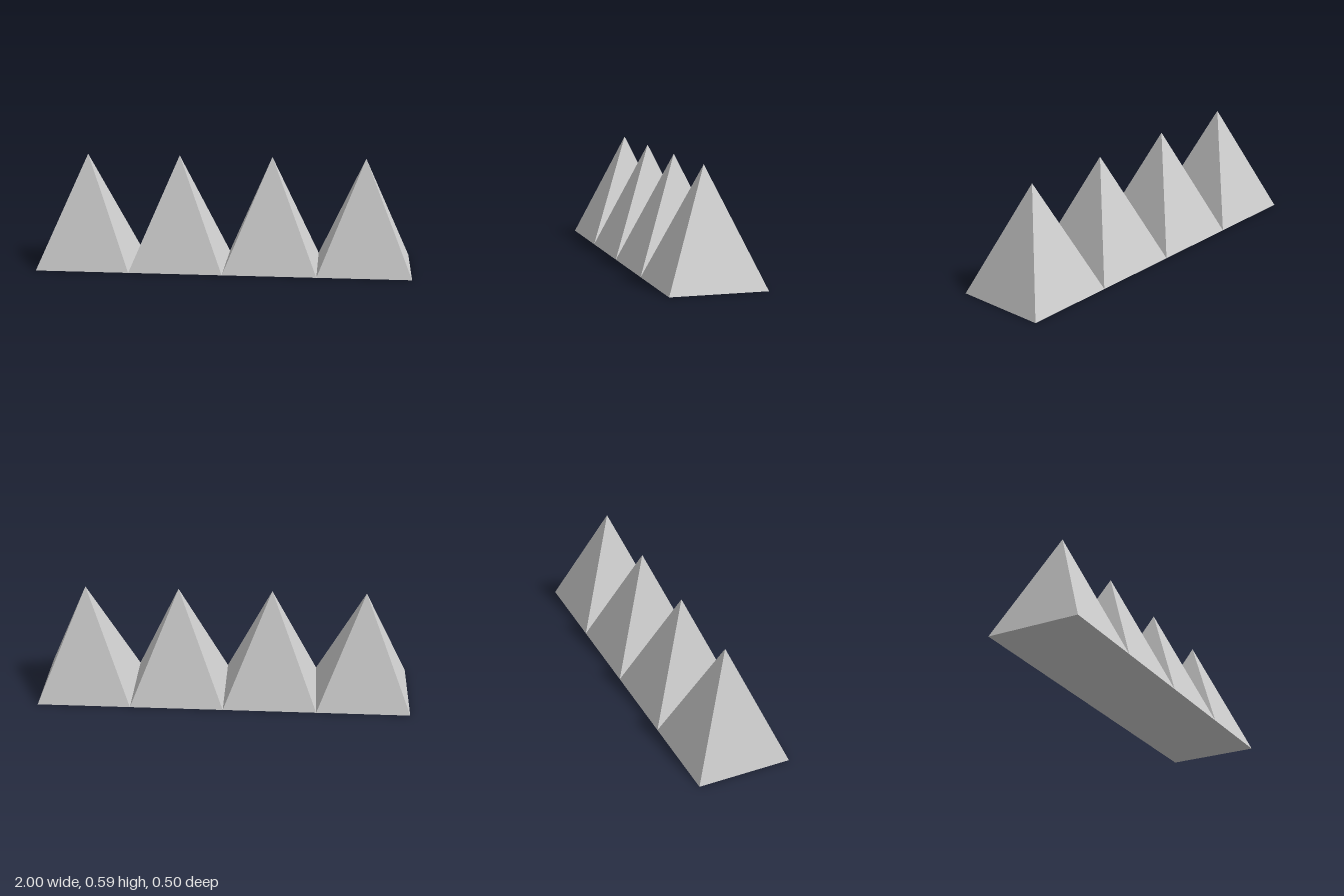
import * as THREE from 'three';

export function createModel() {
  const group = new THREE.Group();
  group.name = 'pyramidRow';

  const count = 4;
  const side = 2 / count;
  const height = 0.593;
  const material = new THREE.MeshStandardMaterial({ color: 0xcccccc, flatShading: true });

  // Square pyramid: a four-sided cone turned so its sides face the axes
  const geometry = new THREE.ConeGeometry(side * Math.SQRT1_2, height, 4);
  geometry.rotateY(Math.PI / 4);
  geometry.translate(0, height / 2, 0);

  // Pyramids side by side along x
  for (let i = 0; i < count; i++) {
    const pyramid = new THREE.Mesh(geometry, material);
    pyramid.name = `pyramid${i + 1}`;
    pyramid.position.x = (i - (count - 1) / 2) * side;
    group.add(pyramid);
  }
  return group;
}
